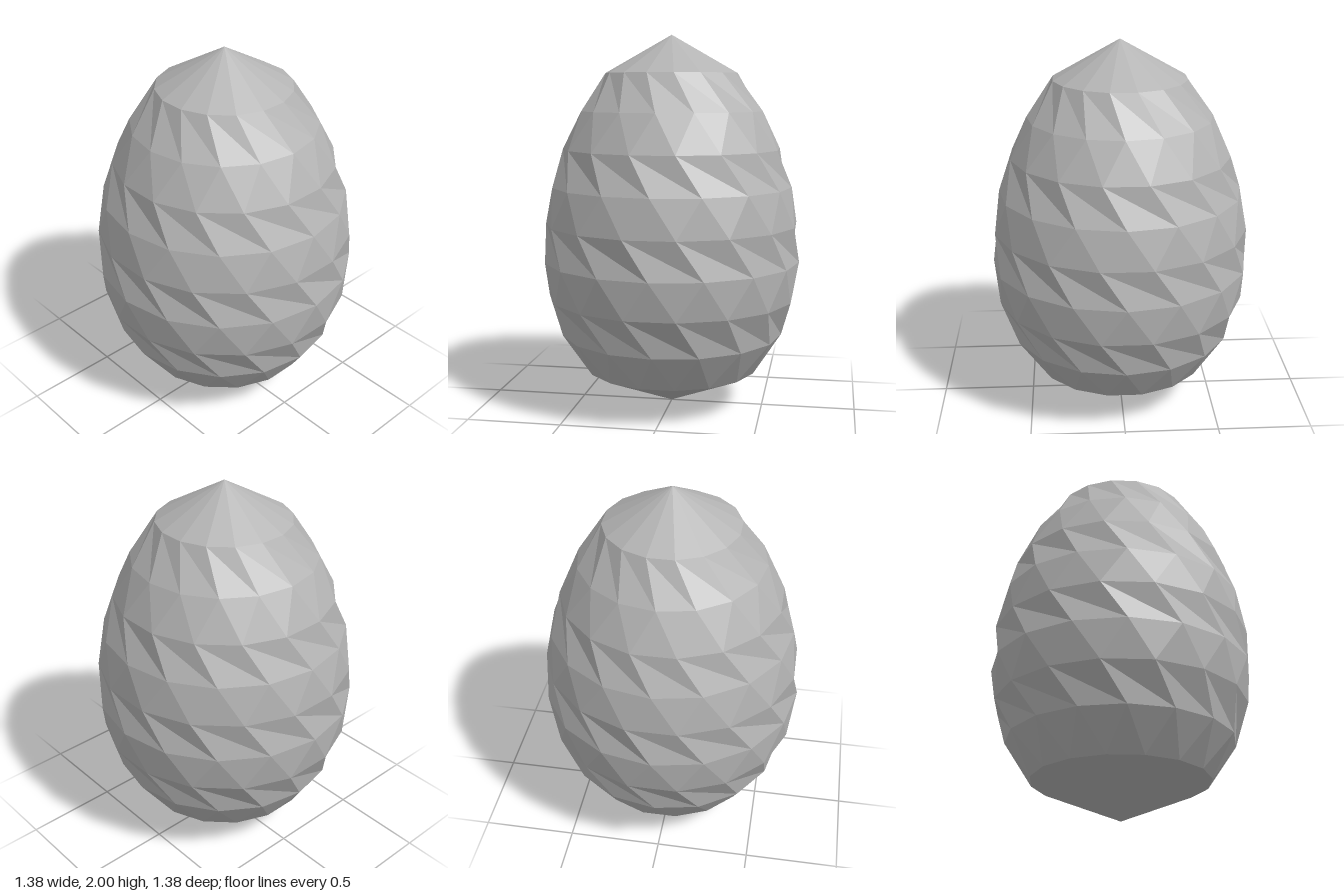
import * as THREE from 'three';

const SIDES = 16;
const STEP = (Math.PI * 2) / SIDES;
// ring radii from bottom to top, one every 0.2 in height
const RADII = [0.467, 0.6, 0.667, 0.69, 0.68, 0.645, 0.583, 0.487, 0.352];

// point on a ring; every other ring is turned by half a step
function ringPoint(ring, i) {
  const a = (i + (ring % 2 === 0 ? 0.5 : 0)) * STEP;
  return [RADII[ring] * Math.sin(a), 0.2 * (ring + 1), RADII[ring] * Math.cos(a)];
}

function shellGeometry() {
  const pos = [];
  const tri = (a, b, c) => pos.push(...a, ...b, ...c);
  const last = RADII.length - 1;
  for (let i = 0; i < SIDES; i++) {
    // pointed bottom and top caps
    tri([0, 0, 0], ringPoint(0, i + 1), ringPoint(0, i));
    tri([0, 2, 0], ringPoint(last, i), ringPoint(last, i + 1));
    // bands: even ones have regular triangles, odd ones are twisted by one step
    for (let r = 0; r < last; r++) {
      const shift = r % 2 === 0 ? 1 : 2;
      const u0 = ringPoint(r + 1, i), u1 = ringPoint(r + 1, i + 1);
      const l0 = ringPoint(r, i + shift - 1), l1 = ringPoint(r, i + shift);
      if (r % 2 === 0) {
        const below = ringPoint(r, i - 1);
        tri(u0, below, l0);
        tri(u0, l0, u1);
      } else {
        tri(u0, l0, l1);
        tri(u0, l1, u1);
      }
    }
  }
  const geo = new THREE.BufferGeometry();
  geo.setAttribute('position', new THREE.Float32BufferAttribute(pos, 3));
  geo.computeVertexNormals();
  return geo;
}

export function createModel() {
  const group = new THREE.Group();
  group.name = 'egg';
  const grey = new THREE.MeshStandardMaterial({ color: 0xb4b4b4, flatShading: true });
  grey.name = 'shell grey';
  const shell = new THREE.Mesh(shellGeometry(), grey);
  shell.name = 'shell';
  group.add(shell);
  return group;
}
